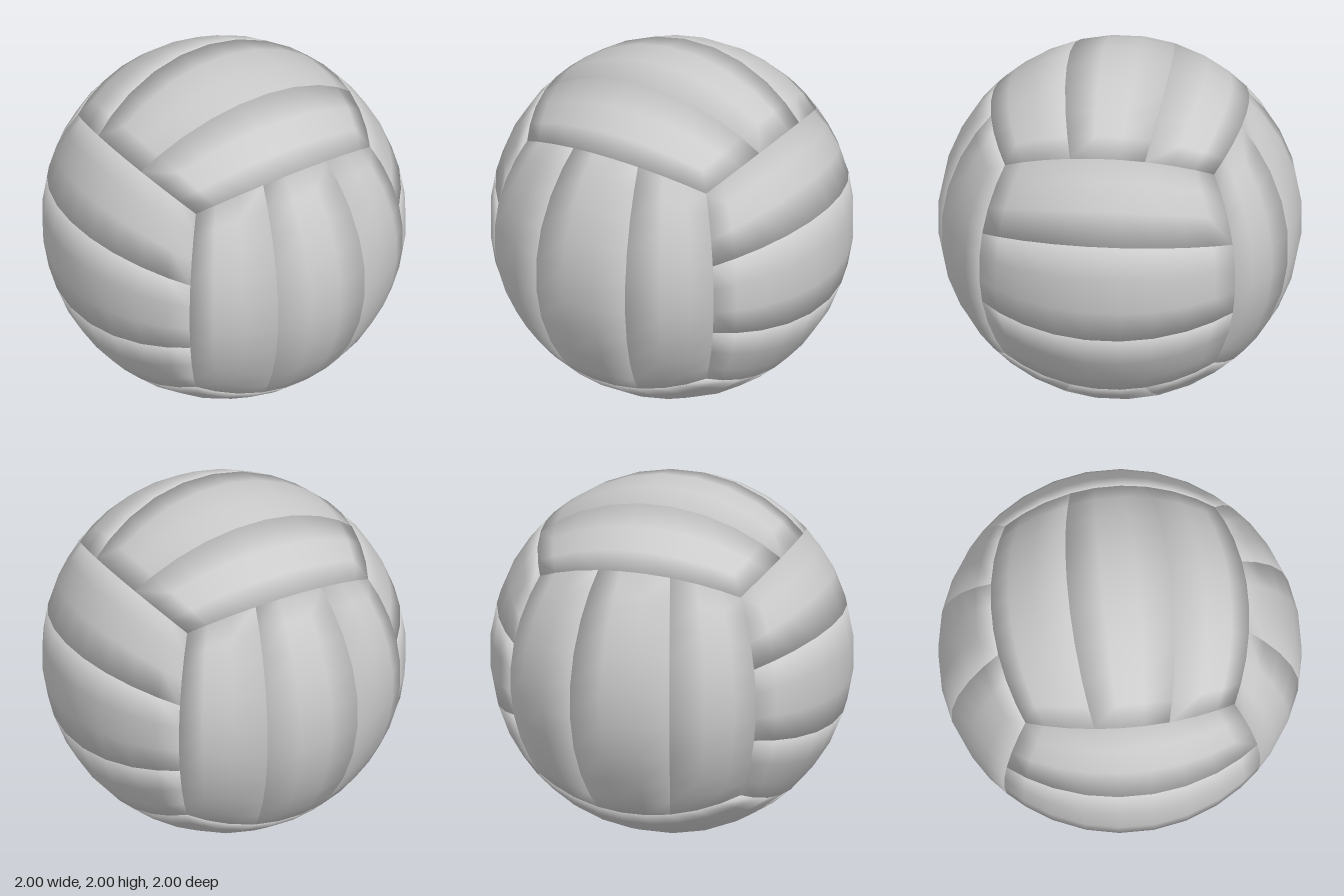
import * as THREE from 'three';

const RADIUS = 1.01;
const WALL_RADIUS = 0.81;
const GAP = 0.0015;
// Cell lines across half a cube face; panel seams lie at 0.3 and 1.
const LINES = [-1, -0.765, -0.53, -0.3, -0.1, 0.1, 0.3, 0.53, 0.765, 1];

// Cell lines of one panel, pulled in at both ends for the seam gap,
// with each end repeated for the side wall that drops into the seam.
function panelLines(from, to) {
  const l = LINES.slice(from, to + 1);
  l[0] += GAP;
  l[l.length - 1] -= GAP;
  return [l[0], ...l, l[l.length - 1]];
}

// One curved panel: a patch of the cube face pushed out to the sphere.
// Top and walls share vertices, so the edges shade softly like padding.
function panelGeometry(across, along, split, long, normal) {
  const positions = [], index = [];
  const nu = across.length, nv = along.length;
  const p = new THREE.Vector3();
  along.forEach((v, j) => across.forEach((u, i) => {
    const wall = i === 0 || j === 0 || i === nu - 1 || j === nv - 1;
    p.copy(normal).addScaledVector(split, u).addScaledVector(long, v);
    p.setLength(wall ? WALL_RADIUS : RADIUS);
    positions.push(p.x, p.y + 1, p.z);
  }));
  for (let j = 0; j < nv - 1; j++) {
    for (let i = 0; i < nu - 1; i++) {
      // the four corner cells of the wall ring have no area
      if ((i === 0 || i === nu - 2) && (j === 0 || j === nv - 2)) continue;
      const a = j * nu + i, b = a + 1, c = b + nu, d = a + nu;
      index.push(a, b, c, a, c, d);
    }
  }
  const geometry = new THREE.BufferGeometry();
  geometry.setAttribute('position', new THREE.Float32BufferAttribute(positions, 3));
  geometry.setIndex(index);
  geometry.computeVertexNormals();
  return geometry;
}

export function createModel() {
  const ball = new THREE.Group();
  ball.name = 'ball';
  const material = new THREE.MeshStandardMaterial({ color: 0xcccccc, side: THREE.DoubleSide });
  const X = new THREE.Vector3(1, 0, 0);
  const Y = new THREE.Vector3(0, 1, 0);
  const Z = new THREE.Vector3(0, 0, 1);

  // Six faces of three panels; the panel direction turns from face to face.
  const faces = [
    ['front', 'back', X, Y, Z],
    ['left', 'right', Y, Z, X],
    ['top', 'bottom', Z, X, Y],
  ];
  const along = panelLines(0, 9);
  for (const [plus, minus, split, long, normal] of faces) {
    for (const sign of [1, -1]) {
      const face = new THREE.Group();
      face.name = (sign > 0 ? plus : minus) + 'Panels';
      const s = split.clone().multiplyScalar(sign);
      const n = normal.clone().multiplyScalar(sign);
      ['sidePanelA', 'middlePanel', 'sidePanelB'].forEach((name, k) => {
        const across = panelLines(k * 3, k * 3 + 3);
        const mesh = new THREE.Mesh(panelGeometry(across, along, s, long, n), material);
        mesh.name = name;
        face.add(mesh);
      });
      ball.add(face);
    }
  }
  return ball;
}
